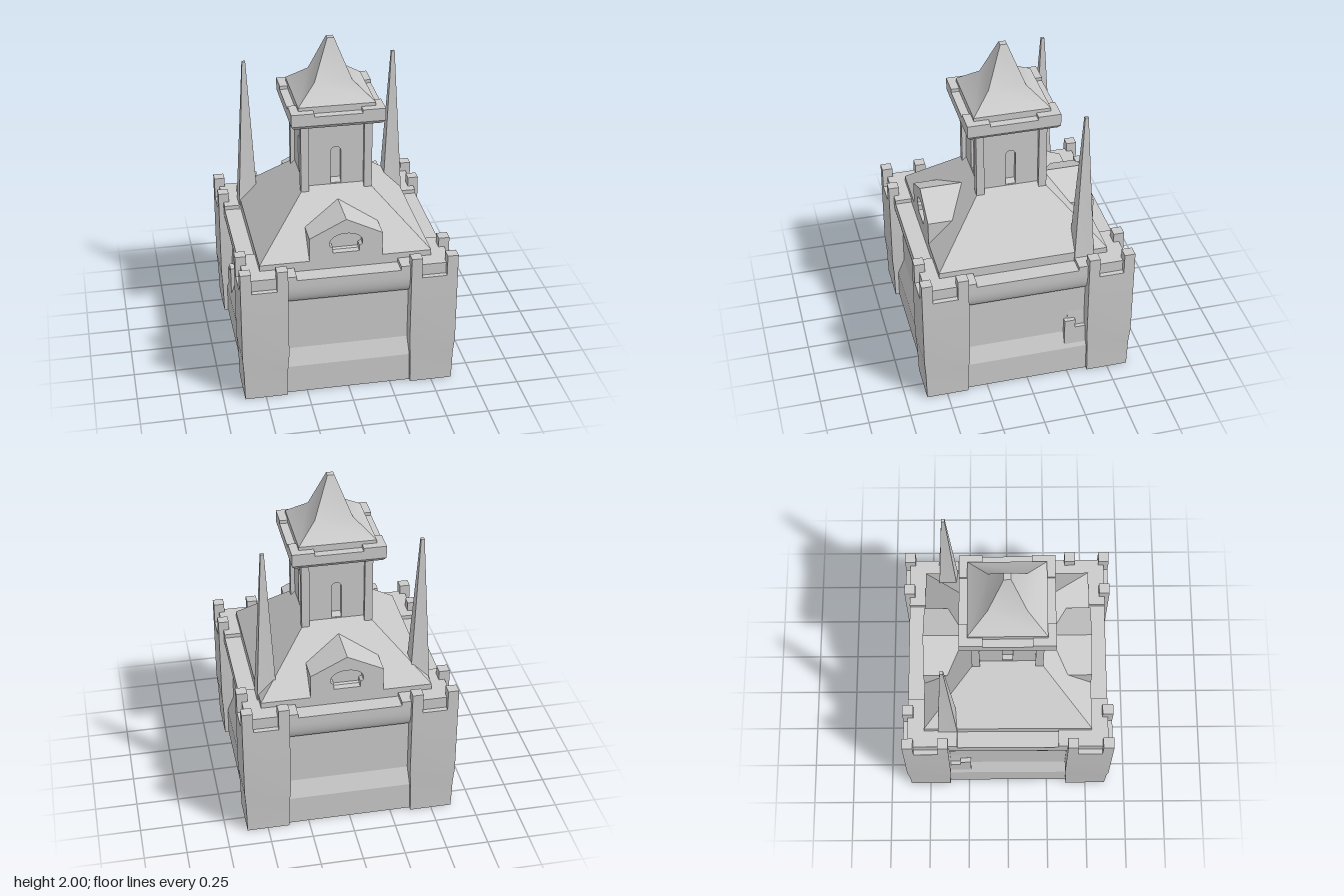
import * as THREE from 'three';
import { toCreasedNormals, mergeGeometries } from 'three/addons/utils/BufferGeometryUtils.js';

const material = new THREE.MeshStandardMaterial({ color: 0xcccccc });

// Square solid from [halfWidth, y] steps, bottom to top, capped at both ends
function squareLoft(profile, crease = 0.1) {
  const pts = [[0, profile[0][1]], ...profile, [0, profile.at(-1)[1]]];
  const g = new THREE.LatheGeometry(
    pts.map(([h, y]) => new THREE.Vector2(h * Math.SQRT2, y)), 4, Math.PI / 4);
  return toCreasedNormals(g, crease);
}

// Box given by its minimum and maximum corners
function boxBetween(x0, y0, z0, x1, y1, z1) {
  return new THREE.BoxGeometry(x1 - x0, y1 - y0, z1 - z0)
    .translate((x0 + x1) / 2, (y0 + y1) / 2, (z0 + z1) / 2);
}

function polygon(points) {
  return new THREE.Shape(points.map(([x, y]) => new THREE.Vector2(x, y)));
}

function extrude(shape, z0, z1) {
  return new THREE.ExtrudeGeometry(shape, { depth: z1 - z0, bevelEnabled: false, curveSegments: 10 })
    .translate(0, 0, z0);
}

export function createModel() {
  const model = new THREE.Group();
  const add = (name, geometry, parent = model) => {
    const mesh = new THREE.Mesh(geometry, material);
    mesh.name = name;
    parent.add(mesh);
    return mesh;
  };
  const signs = [-1, 1];
  const corners = signs.flatMap((x) => signs.map((z) => [x, z]));

  // Walls with a sloped foot
  add('walls', squareLoft([[0.6, 0], [0.6, 0.18], [0.56, 0.285], [0.56, 0.65]]));

  // Rounded cornice carrying the walkway
  const cornice = [];
  for (let i = 0; i <= 8; i++) {
    const a = (i / 8) * Math.PI / 2;
    cornice.push([0.555 + 0.05 * Math.sin(a), 0.73 - 0.12 * Math.cos(a)]);
  }
  add('wallCornice', squareLoft([...cornice, [0.605, 0.77]], 0.6));
  for (const [sx, sz] of corners) {
    const raised = add('raisedWalkwayCorner', boxBetween(-0.15, 0.74, -0.15, 0.15, 0.795, 0.15));
    raised.position.set(sx * 0.455, 0, sz * 0.455);
  }

  // Corner towers with merlons
  for (const [sx, sz] of corners) {
    const tower = new THREE.Group();
    tower.name = 'cornerTower';
    tower.position.set(sx * 0.4975, 0, sz * 0.4975);
    add('towerShaft', squareLoft([[0.126, 0], [0.13, 0.18], [0.1375, 0.285], [0.1375, 0.725]]), tower);
    const spots = [[1, 1], [1, -1], [-1, 1]];
    for (const [mx, mz] of spots) {
      const merlon = add('merlon', new THREE.BoxGeometry(0.064, 0.14, 0.064), tower);
      merlon.position.set(sx * mx * 0.1055, 0.783, sz * mz * 0.1055);
    }
    model.add(tower);
  }

  // Hipped main roof
  add('mainRoof', squareLoft([[0.505, 0.74], [0.505, 0.83], [0.21, 1.125], [0.155, 1.18]]));

  // Gabled dormers, front and back
  const gable = [[-0.215, 0.78], [0.215, 0.78], [0.215, 0.975], [0, 1.083], [-0.215, 0.975]];
  const gableFront = polygon(gable);
  const opening = new THREE.Path();
  opening.moveTo(-0.078, 0.87);
  opening.lineTo(0.078, 0.87);
  opening.lineTo(0.078, 0.905);
  opening.lineTo(0.096, 0.915);
  opening.lineTo(0.096, 0.935);
  opening.absellipse(0, 0.935, 0.096, 0.057, 0, Math.PI, false);
  opening.lineTo(-0.096, 0.915);
  opening.lineTo(-0.078, 0.905);
  opening.closePath();
  gableFront.holes.push(opening);
  for (const turn of [0, Math.PI]) {
    const dormer = new THREE.Group();
    dormer.name = 'dormer';
    add('dormerFront', extrude(gableFront, 0.455, 0.505), dormer);
    add('dormerBody', extrude(polygon(gable), 0.18, 0.455), dormer);
    dormer.rotation.y = turn;
    model.add(dormer);
  }

  // Belfry: four walls with arched openings, corner posts
  const belfryWall = polygon([[-0.185, 1.1], [0.185, 1.1], [0.185, 1.57], [-0.185, 1.57]]);
  const arch = new THREE.Path();
  arch.moveTo(-0.03, 1.155);
  arch.lineTo(0.03, 1.155);
  arch.lineTo(0.03, 1.36);
  arch.absarc(0, 1.36, 0.03, 0, Math.PI, false);
  arch.closePath();
  belfryWall.holes.push(arch);
  for (let i = 0; i < 4; i++) {
    add('belfryWall', extrude(belfryWall, 0.155, 0.185)).rotation.y = i * Math.PI / 2;
  }
  add('belfryCore', boxBetween(-0.155, 1.1, -0.155, 0.155, 1.57, 0.155));
  for (const [sx, sz] of corners) {
    add('belfryPost', new THREE.BoxGeometry(0.047, 0.46, 0.047))
      .position.set(sx * 0.1865, 1.34, sz * 0.1865);
  }

  // Belfry cornice with raised corners
  add('belfryCornice', squareLoft([[0.255, 1.553], [0.273, 1.575], [0.273, 1.63]]));
  for (const [sx, sz] of corners) {
    add('corniceCorner', new THREE.BoxGeometry(0.133, 0.05, 0.133))
      .position.set(sx * 0.2065, 1.625, sz * 0.2065);
  }

  // Flared belfry roof
  add('belfryRoof', squareLoft([[0.225, 1.6], [0.225, 1.67], [0.11, 1.77], [0.02, 2]], 0.6));

  // Rear spires rising from small turrets set in the side walls
  const turretGeometry = mergeGeometries([
    boxBetween(-0.135, 0.02, -0.13, 0.135, 0.33, 0.13),
    ...corners.map(([sx, sz]) => new THREE.BoxGeometry(0.065, 0.1, 0.065)
      .translate(sx * 0.1025, 0.335, sz * 0.0975)),
  ]);
  for (const s of signs) {
    const spire = new THREE.Group();
    spire.name = 'rearSpire';
    spire.position.set(s * 0.455, 0, -0.363);
    add('spireTurret', turretGeometry, spire);
    add('spireNeedle', squareLoft([[0.112, 0.32], [0.108, 0.4], [0.09, 0.6], [0.06, 0.77], [0.01, 1.73]], 0.6), spire);
    model.add(spire);
  }

  return model;
}
